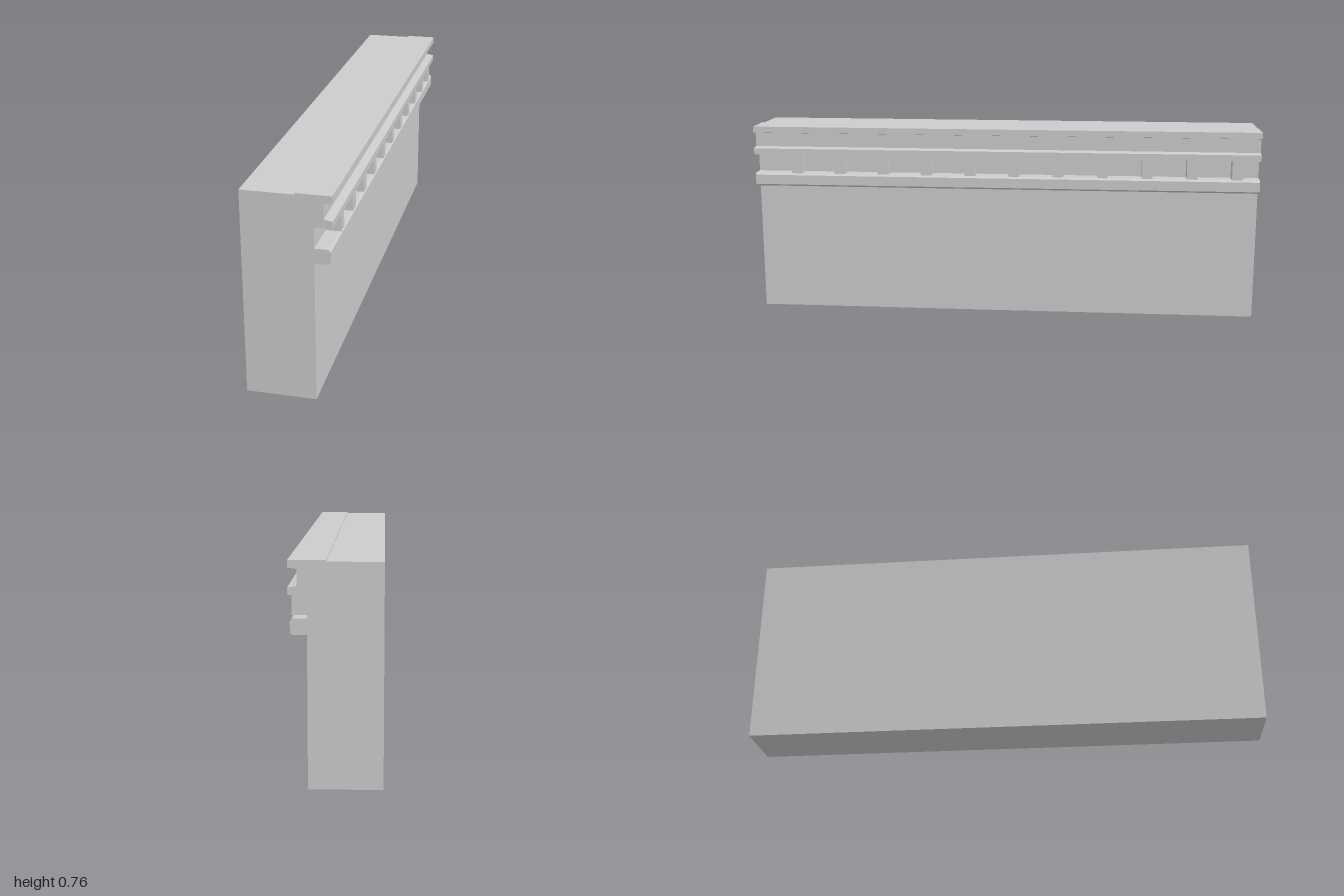
import * as THREE from 'three';

const LENGTH = 2;

export function createModel() {
  const group = new THREE.Group();
  const material = new THREE.MeshStandardMaterial({ color: 0xcccccc, flatShading: true });

  // Wall with its moulded cornice, one cross-section swept along z
  const profile = [
    [-0.155, 0], [0.093, 0],
    // lower rail with chamfered edges
    [0.093, 0.516], [0.14, 0.516], [0.148, 0.523], [0.148, 0.561], [0.14, 0.569], [0.093, 0.569],
    // recess behind the dentils, then middle ledge
    [0.093, 0.645], [0.155, 0.645], [0.155, 0.669], [0.125, 0.674],
    // groove and top cap
    [0.125, 0.728], [0.155, 0.733], [0.155, 0.757], [0.031, 0.757],
    [0.031, 0.752], [-0.155, 0.752],
  ].map(([x, y]) => new THREE.Vector2(x, y));
  const wallGeometry = new THREE.ExtrudeGeometry(new THREE.Shape(profile), {
    depth: LENGTH, bevelEnabled: false,
  });
  wallGeometry.translate(0, 0, -LENGTH / 2);
  const wall = new THREE.Mesh(wallGeometry, material);
  wall.name = 'wallWithCornice';
  group.add(wall);

  // Row of small blocks between lower rail and middle ledge
  const dentils = new THREE.Group();
  dentils.name = 'dentils';
  const blockGeometry = new THREE.BoxGeometry(0.054, 0.076, 0.042);
  for (let i = 0; i < 11; i++) {
    const block = new THREE.Mesh(blockGeometry, material);
    block.name = `dentil${i + 1}`;
    block.position.set(0.12, 0.607, 0.831 - i * 0.1744);
    dentils.add(block);
  }
  group.add(dentils);

  return group;
}
